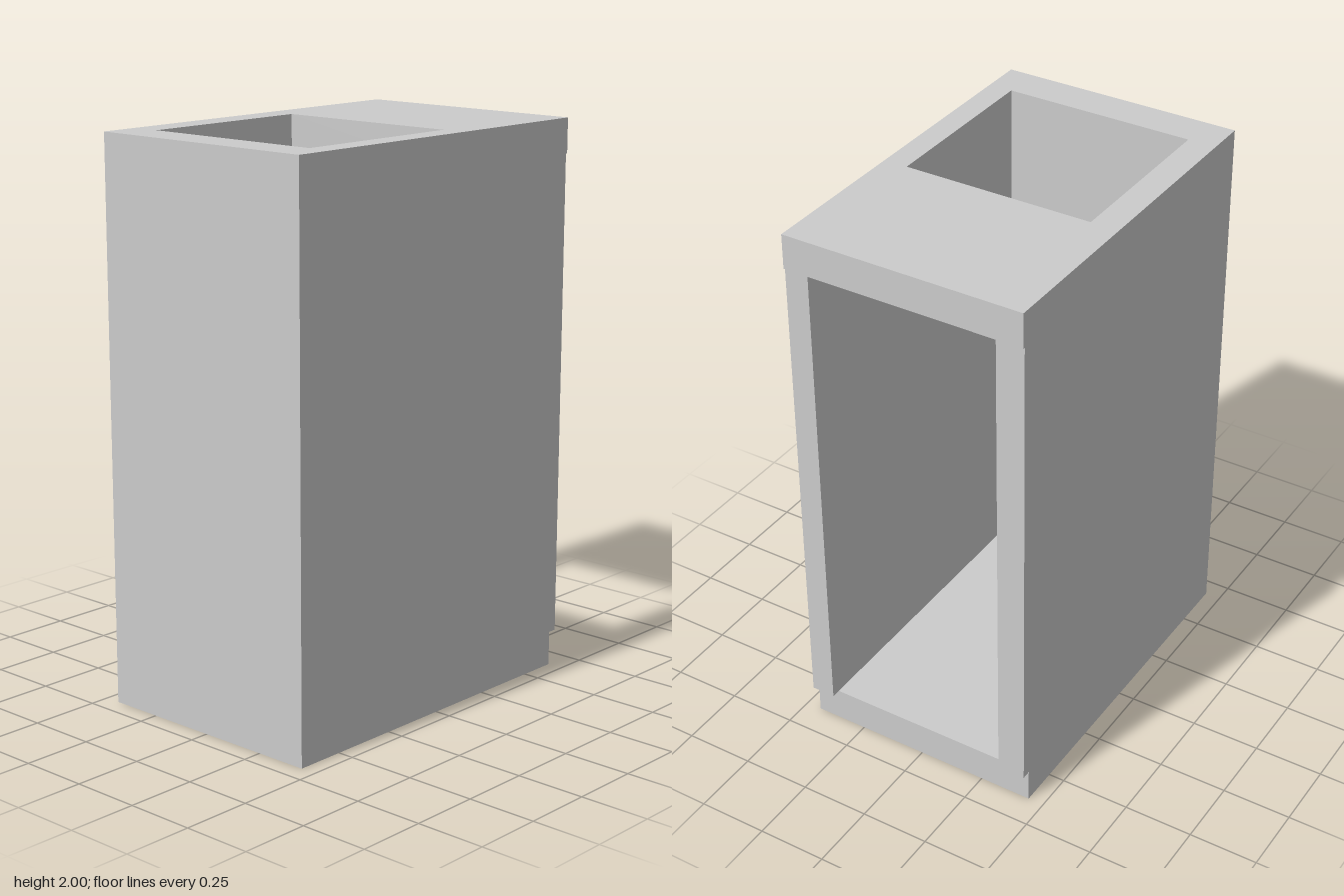
import * as THREE from 'three';

const material = new THREE.MeshStandardMaterial({ color: 0xcccccc, flatShading: true });

// Outer limits and the inner cavity
const LEFT = -0.68, DEPTH = 0.442;
const IN_X = -0.54, IN_FRONT = 0.355, IN_BACK = -0.34;
const FLOOR = 0.125, CEILING = 1.875, TOP = 2;

// Closed path from [x, z] corners, for a plan seen from above
function trace(path, corners) {
  corners.forEach(([x, z], i) => (i ? path.lineTo(x, -z) : path.moveTo(x, -z)));
  path.closePath();
  return path;
}

const rect = (x0, x1, z0, z1) => [[x0, z0], [x0, z1], [x1, z1], [x1, z0]];

// Raise a plan from y0 to y1
function slab(name, corners, y0, y1, hole) {
  const shape = trace(new THREE.Shape(), corners);
  if (hole) shape.holes.push(trace(new THREE.Path(), hole));
  const geometry = new THREE.ExtrudeGeometry(shape, { depth: y1 - y0, bevelEnabled: false });
  geometry.rotateX(-Math.PI / 2).translate(0, y0, 0);
  const mesh = new THREE.Mesh(geometry, material);
  mesh.name = name;
  return mesh;
}

export function createModel() {
  const group = new THREE.Group();
  group.name = 'openCabinet';

  // Floor plate, set back at the open side
  group.add(slab('floor', rect(LEFT, 0.64, -DEPTH, DEPTH), 0, FLOOR));

  // U-shaped walls, open towards +x
  const wallEnd = 0.673;
  group.add(slab('walls', [
    [LEFT, -DEPTH], [LEFT, DEPTH], [wallEnd, DEPTH], [wallEnd, IN_FRONT],
    [IN_X, IN_FRONT], [IN_X, IN_BACK], [wallEnd, IN_BACK], [wallEnd, -DEPTH],
  ], FLOOR, CEILING));

  // Top plate with a rectangular opening flush with the cavity
  group.add(slab('top', rect(LEFT, 0.68, -DEPTH, DEPTH), CEILING, TOP,
    rect(IN_X, 0.11, IN_BACK, IN_FRONT)));

  return group;
}
